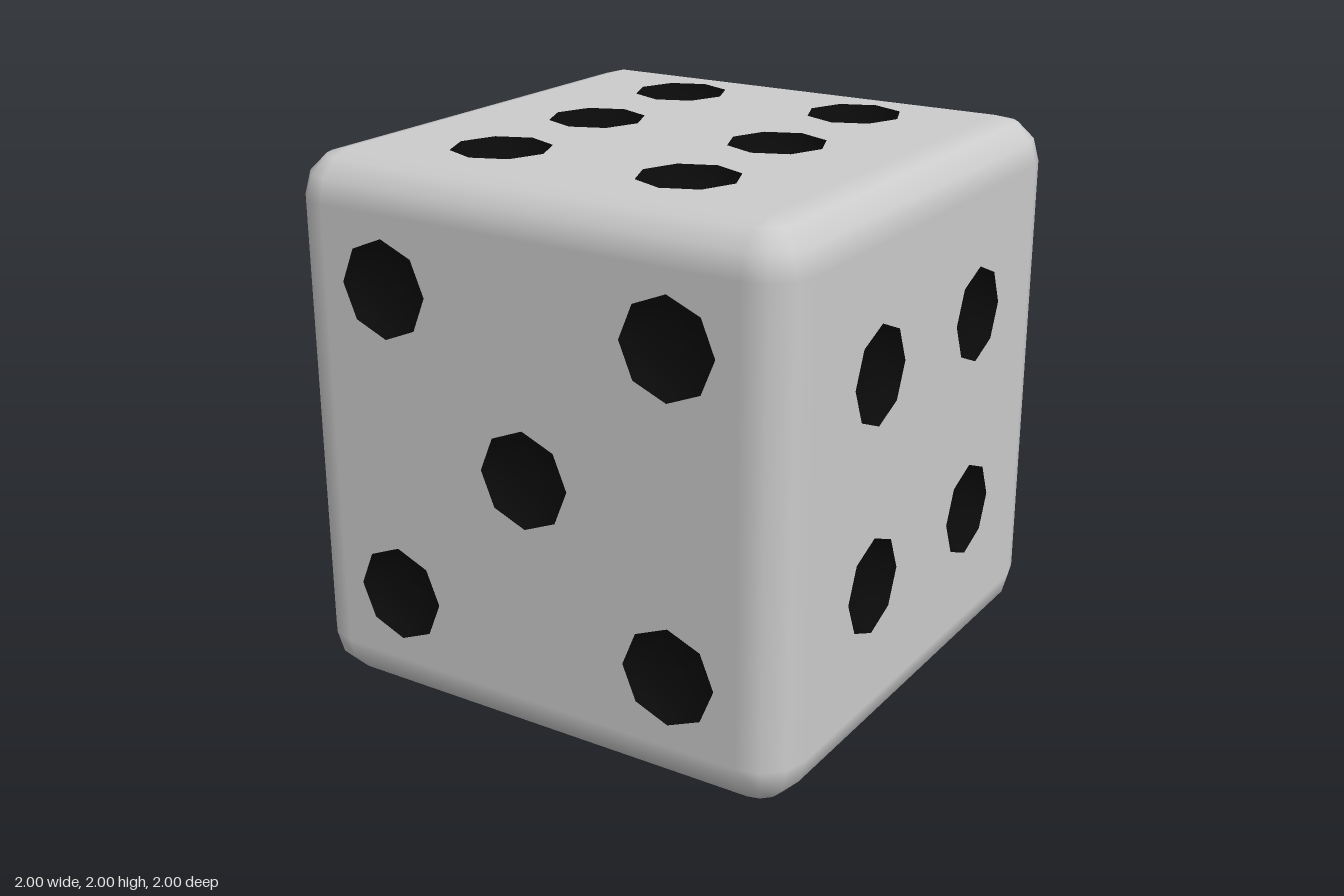
import * as THREE from 'three';
import { mergeGeometries } from 'three/addons/utils/BufferGeometryUtils.js';

const R = 0.17;          // edge rounding
const H = 1 - R;         // half-size of the flat part of a face
const PIP = 0.178;       // pip radius
const DEPTH = 0.09;      // pip depth
const Q = Math.PI / 2;

// Each face: rotation about x and y, and the pip centres in face coordinates
const A = 0.38, B = 0.57;
const FACES = [
  { name: 'front', rx: 0, ry: 0, pips: [[-B, B], [B, B], [0, 0], [-B, -B], [B, -B]] },
  { name: 'right', rx: 0, ry: Q, pips: [[-A, A], [A, A], [-A, -A], [A, -A]] },
  { name: 'back', rx: 0, ry: 2 * Q, pips: [[-A, A], [A, -A]] },
  { name: 'left', rx: 0, ry: -Q, pips: [[-B, B], [0, 0], [B, -B]] },
  { name: 'top', rx: -Q, ry: 0, pips: [[-A, B], [A, B], [-A, 0], [A, 0], [-A, -B], [A, -B]] },
  { name: 'bottom', rx: Q, ry: 0, pips: [[0, 0]] },
];

// Flat square with an eight-sided hole for every pip
function facePanel(pips) {
  const shape = new THREE.Shape([[-H, -H], [H, -H], [H, H], [-H, H]].map(p => new THREE.Vector2(...p)));
  for (const [x, y] of pips) {
    const ring = [];
    for (let i = 0; i < 8; i++) {
      const a = i * Math.PI / 4;
      ring.push(new THREE.Vector2(x + PIP * Math.cos(a), y + PIP * Math.sin(a)));
    }
    shape.holes.push(new THREE.Path(ring));
  }
  return new THREE.ShapeGeometry(shape).translate(0, 0, 1);
}

// Shallow eight-sided dish opening towards +z
function pipDish() {
  const profile = [];
  for (let i = 0; i <= 4; i++) {
    const a = i / 4 * Q;
    profile.push(new THREE.Vector2(i === 4 ? 0 : PIP * Math.cos(a), -DEPTH * Math.sin(a)));
  }
  return new THREE.LatheGeometry(profile, 8).rotateX(Q);
}

// Twelve quarter-round edges and eight rounded corners
function roundedFrame() {
  const parts = [];
  for (let i = 0; i < 4; i++) {
    const edge = new THREE.CylinderGeometry(R, R, 2 * H, 3, 1, true, 0, Q)
      .translate(H, 0, H).rotateY(i * Q);
    parts.push(edge, edge.clone().rotateX(Q), edge.clone().rotateZ(Q));
    const corner = new THREE.SphereGeometry(R, 3, 3, 0, Q, 0, Q)
      .translate(-H, H, H).rotateY(i * Q);
    parts.push(corner, corner.clone().rotateX(Math.PI));
  }
  return mergeGeometries(parts);
}

export function createModel() {
  const die = new THREE.Group();
  die.name = 'die';
  const bodyMat = new THREE.MeshStandardMaterial({ color: 0xcccccc });
  const pipMat = new THREE.MeshStandardMaterial({ color: 0x0a0a0a });

  const frame = new THREE.Mesh(roundedFrame(), bodyMat);
  frame.name = 'roundedEdges';
  frame.position.y = 1;
  die.add(frame);

  const dish = pipDish();
  for (const { name, rx, ry, pips } of FACES) {
    const face = new THREE.Group();
    face.name = name + 'Face';
    face.rotation.set(rx, ry, 0);
    face.position.y = 1;

    const panel = new THREE.Mesh(facePanel(pips), bodyMat);
    panel.name = name + 'Panel';
    face.add(panel);

    pips.forEach(([x, y], i) => {
      const pip = new THREE.Mesh(dish, pipMat);
      pip.name = `${name}Pip${i + 1}`;
      pip.position.set(x, y, 1);
      face.add(pip);
    });
    die.add(face);
  }
  return die;
}
